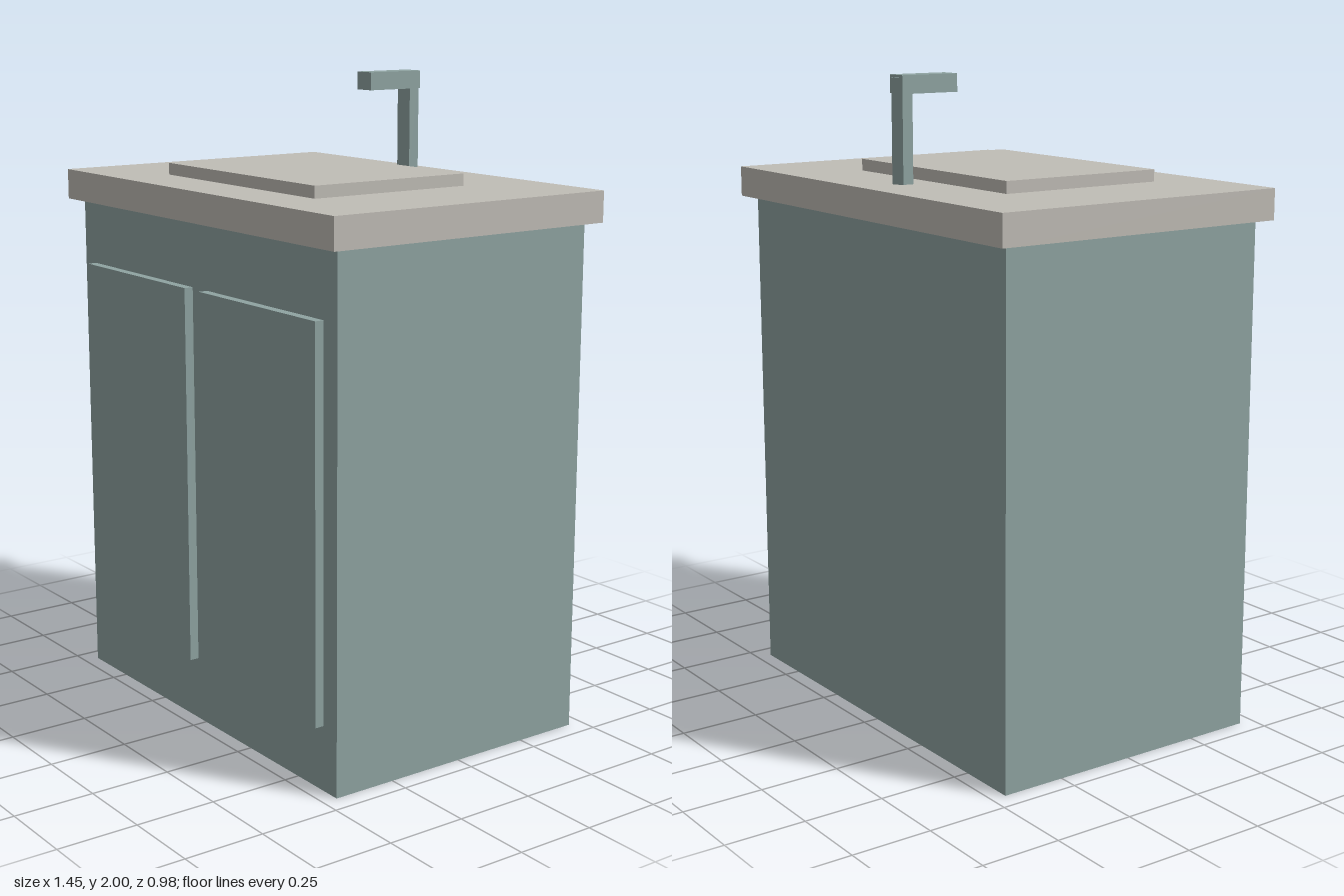
import * as THREE from 'three';

export function createModel() {
  const model = new THREE.Group();
  model.name = 'washbasinCabinet';

  const paint = new THREE.MeshStandardMaterial({ color: 0x8fa4a2 });
  paint.name = 'greyGreen';
  const stone = new THREE.MeshStandardMaterial({ color: 0xc0bdb6 });
  stone.name = 'paleStone';
  const metal = paint;

  // Box given by its lower and upper limits on each axis
  function box(name, material, [x0, x1], [y0, y1], [z0, z1], parent = model) {
    const mesh = new THREE.Mesh(new THREE.BoxGeometry(x1 - x0, y1 - y0, z1 - z0), material);
    mesh.position.set((x0 + x1) / 2, (y0 + y1) / 2, (z0 + z1) / 2);
    mesh.name = name;
    parent.add(mesh);
    return mesh;
  }

  // Cabinet body with two raised doors
  box('cabinet', paint, [-0.69, 0.69], [0, 1.583], [-0.453, 0.453]);
  box('leftDoor', paint, [0.04, 0.627], [0.2, 1.38], [0.453, 0.482]);
  box('rightDoor', paint, [-0.627, -0.04], [0.2, 1.38], [0.453, 0.482]);

  // Countertop and basin slab
  box('countertop', stone, [-0.727, 0.727], [1.583, 1.678], [-0.492, 0.492]);
  box('basin', stone, [-0.392, 0.392], [1.678, 1.715], [-0.236, 0.313]);

  // Tap: six-sided post with a square spout reaching forward
  const tap = new THREE.Group();
  tap.name = 'tap';
  const postGeometry = new THREE.CylinderGeometry(0.035, 0.035, 0.314, 6).toNonIndexed();
  postGeometry.computeVertexNormals();
  const post = new THREE.Mesh(postGeometry, metal);
  post.name = 'tapPost';
  post.position.set(0, 1.835, -0.335);
  tap.add(post);
  box('tapSpout', metal, [-0.034, 0.034], [1.945, 2], [-0.355, -0.16], tap);
  model.add(tap);

  return model;
}
